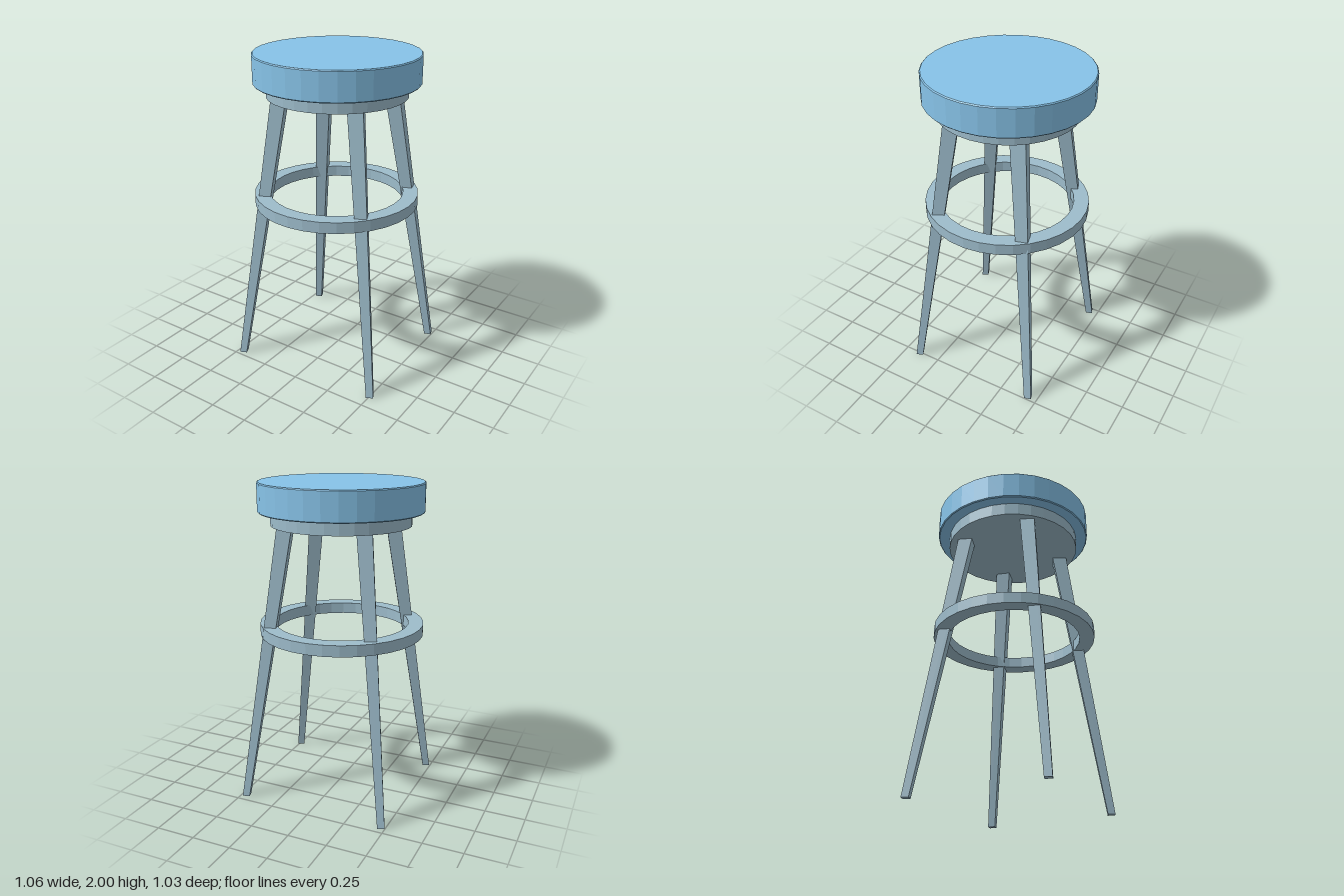
import * as THREE from 'three';

const SIDES = 32;
const CX = -0.014, CZ = -0.01; // seat centre

export function createModel() {
  const stool = new THREE.Group();
  stool.name = 'barStool';
  const cushionMat = new THREE.MeshStandardMaterial({ color: 0x87c3e8, flatShading: true });
  const frameMat = new THREE.MeshStandardMaterial({ color: 0x9dbccb, flatShading: true });

  const add = (name, geometry, material, x = 0, y = 0, z = 0) => {
    const mesh = new THREE.Mesh(geometry, material);
    mesh.name = name;
    mesh.position.set(x, y, z);
    stool.add(mesh);
  };
  const lathe = (points) =>
    new THREE.LatheGeometry(points.map(([r, y]) => new THREE.Vector2(r, y)), SIDES);

  // Thick round cushion with finely bevelled rims
  add('seatCushion', lathe([
    [0, 1.82], [0.5, 1.82], [0.506, 1.826], [0.506, 1.994], [0.5, 2], [0, 2],
  ]), cushionMat, CX, 0, CZ);

  // Smaller disc under the cushion
  add('seatBase', new THREE.CylinderGeometry(0.43, 0.43, 0.08, SIDES), frameMat, CX, 1.78, CZ);

  // Footrest ring with a rectangular section
  add('footRing', lathe([
    [0.42, 1.06], [0.514, 1.06], [0.514, 1.13], [0.42, 1.13], [0.42, 1.06],
  ]), frameMat, CX, 0, 0);

  // Splayed square legs, tapering from seat to floor
  const LEG_HEIGHT = 1.75, FOOT = 0.045, HEAD = 0.092;
  const leg = (foot, head, turn) => {
    const g = new THREE.BoxGeometry(1, 1, 1);
    g.rotateY(THREE.MathUtils.degToRad(turn));
    const p = g.attributes.position;
    for (let i = 0; i < p.count; i++) {
      const t = p.getY(i) + 0.5;
      const s = THREE.MathUtils.lerp(FOOT, HEAD, t);
      p.setXYZ(i,
        THREE.MathUtils.lerp(foot[0], head[0], t) + p.getX(i) * s,
        t * LEG_HEIGHT,
        THREE.MathUtils.lerp(foot[1], head[1], t) + p.getZ(i) * s);
    }
    g.computeVertexNormals();
    return g;
  };
  // name, foot [x, z], head [x, z], turn in degrees
  const legs = [
    ['frontLeftLeg', [0.498, 0.397], [0.257, 0.208], 26],
    ['backLeftLeg', [0.470, -0.436], [0.25, -0.228], 16],
    ['backRightLeg', [-0.469, -0.438], [-0.257, -0.228], 21],
    ['frontRightLeg', [-0.465, 0.453], [-0.257, 0.235], 23],
  ];
  for (const [name, foot, head, turn] of legs) add(name, leg(foot, head, turn), frameMat);

  return stool;
}
